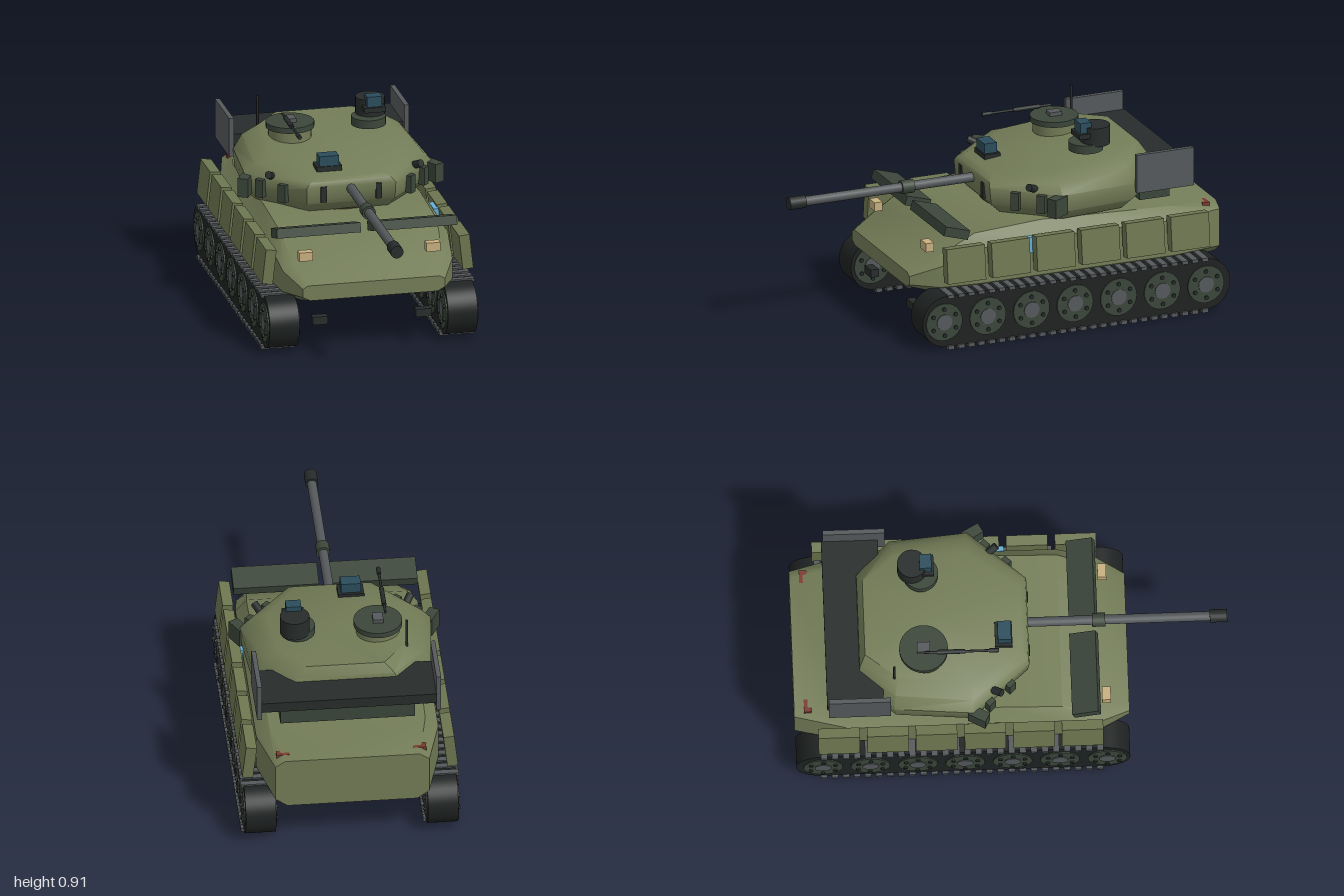
import * as THREE from 'three';
import { toCreasedNormals } from 'three/addons/utils/BufferGeometryUtils.js';

const mat = (color) => new THREE.MeshStandardMaterial({ color });
const M = {
  olive: mat(0x737c57), skirt: mat(0x6d7650), green: mat(0x3b463a), dark: mat(0x272c2b),
  track: mat(0x1f2222), grey: mat(0x55595b), glass: mat(0x2b4d5c), lamp: mat(0xc8b07f),
  red: mat(0x7c3a30), blue: mat(0x66aed4), brown: mat(0x453d2c),
};

function add(parent, name, geo, material, x = 0, y = 0, z = 0) {
  const m = new THREE.Mesh(geo, material);
  m.name = name;
  m.position.set(x, y, z);
  parent.add(m);
  return m;
}
const box = (p, name, material, w, h, d, x, y, z) => add(p, name, new THREE.BoxGeometry(w, h, d), material, x, y, z);
const cyl = (p, name, material, r, h, x, y, z, n = 24) => add(p, name, new THREE.CylinderGeometry(r, r, h, n), material, x, y, z);

// Cylinder lying along z, from z0 to z1
function rod(p, name, material, r, z0, z1, x, y, n = 20) {
  const g = new THREE.CylinderGeometry(r, r, z1 - z0, n).rotateX(Math.PI / 2);
  return add(p, name, g, material, x, y, (z0 + z1) / 2);
}

// Closed skin over a list of rings with equal point counts, capped at both ends
function loft(rings, crease) {
  const pos = [];
  const tri = (a, b, c) => pos.push(...a, ...b, ...c);
  const mid = (r) => [0, 1, 2].map((k) => r.reduce((s, p) => s + p[k], 0) / r.length);
  const n = rings[0].length, first = rings[0], last = rings[rings.length - 1];
  const c0 = mid(first), c1 = mid(last);
  for (let j = 0; j < n; j++) {
    const k = (j + 1) % n;
    for (let i = 0; i < rings.length - 1; i++) {
      const [a, b, c, d] = [rings[i][j], rings[i][k], rings[i + 1][k], rings[i + 1][j]];
      tri(a, b, c);
      tri(a, c, d);
    }
    tri(c0, first[k], first[j]);
    tri(c1, last[j], last[k]);
  }
  const g = new THREE.BufferGeometry();
  g.setAttribute('position', new THREE.Float32BufferAttribute(pos, 3));
  return toCreasedNormals(g, crease);
}

// Hull: eight-sided sections from nose to tail
function addHull(root) {
  // z, half widths (top, side, bottom), heights (top, upper side, lower side, bottom)
  const stations = [
    [0.54, 0.31, 0.335, 0.3, 0.335, 0.32, 0.28, 0.262],
    [0.41, 0.35, 0.40, 0.32, 0.40, 0.37, 0.27, 0.225],
    [0.23, 0.37, 0.42, 0.33, 0.50, 0.44, 0.27, 0.2],
    [-0.1, 0.37, 0.42, 0.33, 0.52, 0.45, 0.27, 0.2],
    [-0.75, 0.36, 0.42, 0.33, 0.49, 0.44, 0.27, 0.2],
    [-1.0, 0.31, 0.355, 0.3, 0.47, 0.44, 0.26, 0.22],
  ];
  const rings = stations.map(([z, wt, ws, wb, yt, yu, yl, yb]) => [
    [-wt, yt, z], [wt, yt, z], [ws, yu, z], [ws, yl, z],
    [wb, yb, z], [-wb, yb, z], [-ws, yl, z], [-ws, yu, z],
  ]);
  add(root, 'hull', loft(rings, 0.6), M.olive);
  for (const s of [-1, 1]) {
    box(root, 'headlight', M.lamp, 0.065, 0.042, 0.04, s * 0.3, 0.446, 0.435);
    box(root, 'tailLight', M.red, 0.06, 0.032, 0.035, s * 0.315, 0.459, -0.937);
    box(root, 'towBlock', M.dark, 0.072, 0.038, 0.04, s * 0.243, 0.147, 0.48);
    box(root, 'frontPlate', M.green, 0.395, 0.045, 0.125, s * 0.227, 0.532, 0.34).rotation.x = -0.29;
    for (let i = 0; i < 6; i++) {
      box(root, 'skirtPanel', M.skirt, 0.05, 0.165, 0.19, s * 0.464, 0.396, 0.32 - i * 0.2235).rotation.z = s * 0.11;
    }
  }
  box(root, 'sideMarker', M.blue, 0.025, 0.075, 0.1, 0.423, 0.427, -0.06);
}

// Running gear for one side, s = -1 or 1
function addTrack(root, s) {
  const g = new THREE.Group();
  g.name = s > 0 ? 'leftTrack' : 'rightTrack';
  g.position.x = s * 0.42;
  root.add(g);
  const yc = 0.135, zf = 0.415, zr = -0.872, r = 0.123;
  const shape = new THREE.Shape();
  shape.absarc(zf, yc, r, -Math.PI / 2, Math.PI / 2);
  shape.absarc(zr, yc, r, Math.PI / 2, Math.PI * 1.5);
  const belt = new THREE.ExtrudeGeometry(shape, { depth: 0.14, bevelEnabled: false, curveSegments: 20 });
  belt.translate(0, 0, -0.07).rotateY(-Math.PI / 2);
  add(g, 'trackBelt', toCreasedNormals(belt, 0.5), M.track);
  for (let i = 0; i < 26; i++) {
    const z = 0.4 - i * 0.0507;
    box(g, 'upperTrackPad', M.grey, 0.165, 0.016, 0.03, 0, 0.257, z);
    box(g, 'lowerTrackPad', M.grey, 0.165, 0.018, 0.03, 0, 0.009, z);
  }
  const disc = (name, m, rad, len, y, z, n) => cyl(g, name, m, rad, len, 0, y, z, n).rotation.set(0, 0, Math.PI / 2);
  for (let i = 0; i < 7; i++) {
    const z = 0.433 - i * 0.2175;
    disc('roadWheel', M.green, 0.09, 0.152, yc, z, 28);
    disc('wheelHub', M.grey, 0.038, 0.16, yc, z, 16);
    for (let k = 0; k < 6; k++) {
      const a = (k / 6) * Math.PI * 2 + 0.5;
      disc('wheelBolt', M.dark, 0.01, 0.166, yc + 0.064 * Math.sin(a), z + 0.064 * Math.cos(a), 8);
    }
  }
}

function addTurret(root) {
  const t = new THREE.Group();
  t.name = 'turret';
  root.add(t);
  cyl(t, 'turretRing', M.brown, 0.33, 0.08, 0, 0.52, -0.3, 32);

  // Shell: one plan outline scaled layer by layer, roof rising to the rear
  const outline = [[-0.21, 0.085], [0.21, 0.085], [0.44, -0.18], [0.41, -0.54], [0.25, -0.7],
    [-0.25, -0.7], [-0.41, -0.54], [-0.44, -0.18]];
  const roofY = (z) => THREE.MathUtils.clamp(0.69 + (0.05 - z) * 0.13, 0.685, 0.76);
  const layer = (sx, sz, y) => outline.map(([x, z]) => {
    const zz = -0.31 + (z + 0.31) * sz;
    return [x * sx, y(zz), zz];
  });
  const shell = loft([
    layer(0.88, 0.85, () => 0.515),
    layer(0.99, 0.98, () => 0.565),
    layer(1, 1, () => 0.645),
    layer(0.9, 0.985, (z) => 0.645 + 0.6 * (roofY(z) - 0.645)),
    layer(0.72, 0.92, roofY),
  ], 0.75);
  add(t, 'turretShell', shell, M.olive);

  // Gun
  rod(t, 'gunBarrel', M.grey, 0.022, 0.03, 0.95, 0, 0.63);
  rod(t, 'barrelCollar', M.green, 0.032, 0.38, 0.44, 0, 0.63);
  rod(t, 'muzzle', M.dark, 0.03, 0.92, 1.0, 0, 0.63);

  // Rear stowage rack
  box(t, 'rackFloor', M.dark, 0.81, 0.05, 0.26, 0, 0.67, -0.72);
  box(t, 'rackBox', M.green, 0.62, 0.13, 0.15, 0, 0.585, -0.695);

  for (const s of [-1, 1]) {
    box(t, 'rackSide', M.grey, 0.022, 0.185, 0.285, s * 0.413, 0.692, -0.7);
    // Cheek blocks and smoke launchers
    box(t, 'sideBlock', M.green, 0.05, 0.09, 0.09, s * 0.443, 0.6, -0.155).rotation.y = s * 0.5;
    [[0.385, -0.1], [0.3, -0.005]].forEach(([x, z]) => {
      box(t, 'cheekBlock', M.green, 0.04, 0.085, 0.03, s * x, 0.6, z).rotation.y = s * 0.8;
    });
    box(t, 'frontBlock', M.dark, 0.028, 0.075, 0.03, s * 0.13, 0.61, 0.075);
    const tube = cyl(t, 'smokeLauncher', M.dark, 0.018, 0.06, s * 0.345, 0.667, -0.07, 12);
    tube.rotation.set(1.1, 0, -s * 0.5);
  }

  // Commander hatch with machine gun and aerial
  cyl(t, 'hatchBase', M.olive, 0.1, 0.06, -0.175, 0.755, -0.4);
  cyl(t, 'hatch', M.green, 0.112, 0.026, -0.175, 0.796, -0.4, 32);
  box(t, 'gunMount', M.grey, 0.048, 0.02, 0.06, -0.175, 0.817, -0.4);
  rod(t, 'machineGunBarrel', M.dark, 0.006, -0.4, -0.055, -0.21, 0.845, 10);
  rod(t, 'machineGunSleeve', M.dark, 0.011, -0.34, -0.21, -0.21, 0.845, 12);
  rod(t, 'machineGunMuzzle', M.dark, 0.01, -0.1, -0.055, -0.21, 0.845, 12);
  cyl(t, 'aerial', M.dark, 0.006, 0.16, -0.295, 0.815, -0.538, 8);

  // Panoramic sight
  cyl(t, 'sightBase', M.green, 0.08, 0.04, 0.195, 0.785, -0.4, 28);
  cyl(t, 'sightDrum', M.dark, 0.068, 0.09, 0.212, 0.84, -0.44, 28);
  box(t, 'sightShelf', M.dark, 0.1, 0.024, 0.08, 0.213, 0.848, -0.38);
  box(t, 'sightWindow', M.glass, 0.07, 0.055, 0.055, 0.213, 0.882, -0.378);

  // Gunner sight
  box(t, 'gunnerSightBase', M.dark, 0.12, 0.03, 0.08, -0.085, 0.703, -0.03);
  box(t, 'gunnerSightWindow', M.glass, 0.092, 0.05, 0.062, -0.085, 0.741, -0.026);
}

export function createModel() {
  const root = new THREE.Group();
  root.name = 'tank';
  addHull(root);
  addTrack(root, 1);
  addTrack(root, -1);
  addTurret(root);
  return root;
}
